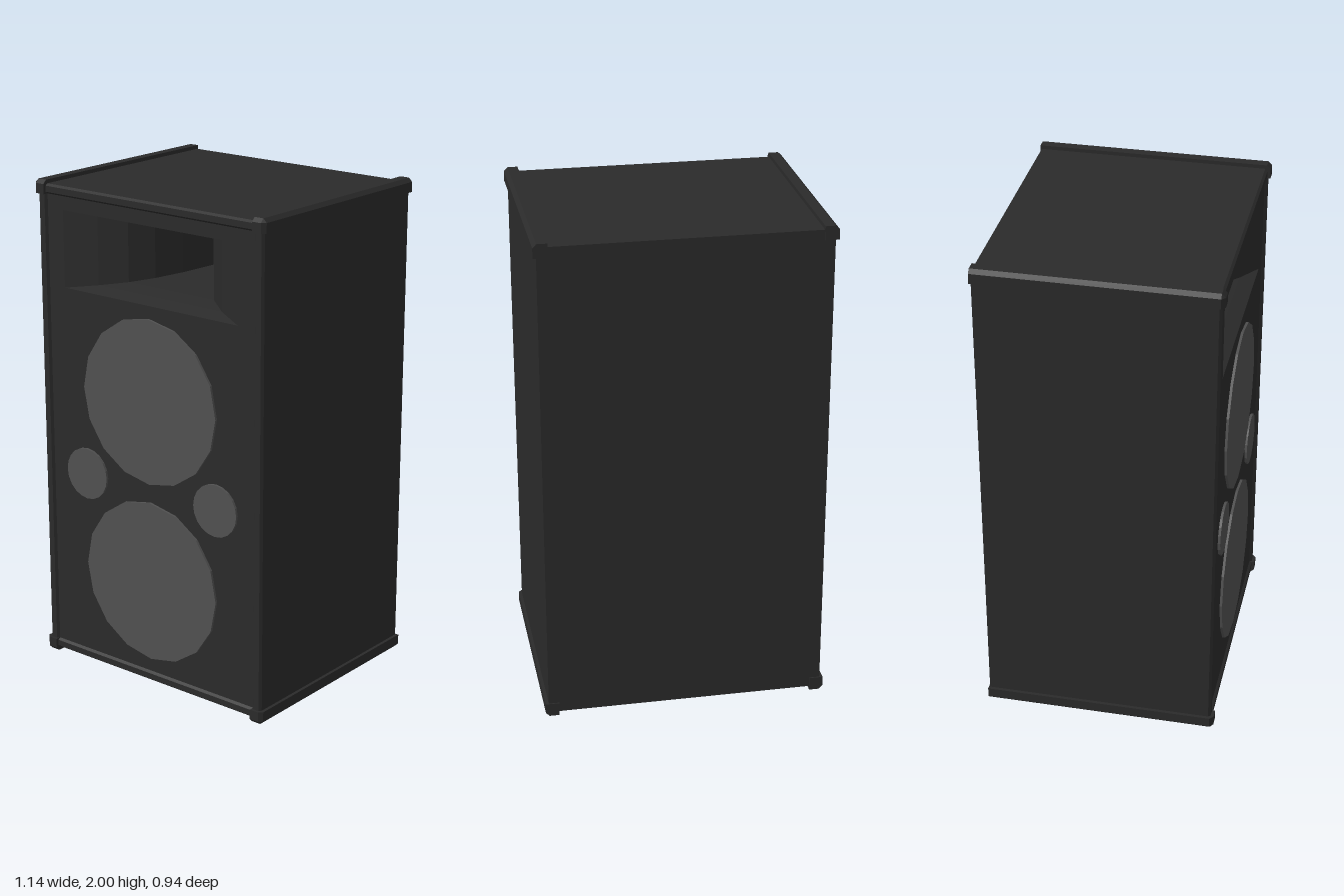
import * as THREE from 'three';

const dark = new THREE.MeshStandardMaterial({ color: 0x2a2a2a, flatShading: true });
const darkInside = new THREE.MeshStandardMaterial({ color: 0x2a2a2a, flatShading: true, side: THREE.DoubleSide });
const cone = new THREE.MeshStandardMaterial({ color: 0x505050, flatShading: true });

// rectangle as a closed list of points
function rect(hw, y0, y1) {
  return [[-hw, y0], [hw, y0], [hw, y1], [-hw, y1]].map(([x, y]) => new THREE.Vector2(x, y));
}

function framed(outer, inner) {
  const shape = new THREE.Shape(outer);
  shape.holes.push(new THREE.Path(inner));
  return shape;
}

// edge rail along z with a chamfered outer corner and a tapered front end
function railGeometry(sx, sy) {
  const section = [[0.515, 0.945], [0.57, 0.945], [0.57, 0.985], [0.555, 1], [0.515, 1]];
  const shape = new THREE.Shape(section.map(([x, y]) => new THREE.Vector2(sx * x, sy * y)));
  const geo = new THREE.ExtrudeGeometry(shape, { depth: 2, steps: 2, bevelEnabled: false });
  const p = geo.attributes.position;
  const levels = [-0.47, 0.452, 0.467];
  for (let i = 0; i < p.count; i++) {
    const ring = Math.round(p.getZ(i));
    p.setZ(i, levels[ring]);
    if (ring === 2) {
      p.setX(i, sx * Math.min(Math.abs(p.getX(i)), 0.555));
      p.setY(i, sy * Math.min(Math.abs(p.getY(i)), 0.985));
    }
    p.setY(i, p.getY(i) + 1);
  }
  geo.computeVertexNormals();
  return geo;
}

// flared rectangular horn: rings of four corners from mouth to throat, closed at the back
function hornGeometry(zFront) {
  const profile = [[0, 0.435], [0.06, 0.31], [0.13, 0.215], [0.22, 0.155], [0.34, 0.115], [0.5, 0.09]];
  const pos = [], index = [];
  profile.forEach(([d, w]) => {
    const h = 0.105 + 0.05 * (w - 0.09) / 0.345;
    rect(w, 1.735 - h, 1.735 + h).forEach((c) => pos.push(c.x, c.y, zFront - d));
  });
  for (let r = 0; r < profile.length - 1; r++) {
    for (let k = 0; k < 4; k++) {
      const a = r * 4 + k, b = r * 4 + (k + 1) % 4;
      index.push(a, b, b + 4, a, b + 4, a + 4);
    }
  }
  const t = (profile.length - 1) * 4;
  index.push(t, t + 1, t + 2, t, t + 2, t + 3);
  const geo = new THREE.BufferGeometry();
  geo.setAttribute('position', new THREE.Float32BufferAttribute(pos, 3));
  geo.setIndex(index);
  const flat = geo.toNonIndexed();
  flat.computeVertexNormals();
  return flat;
}

export function createModel() {
  const group = new THREE.Group();
  const add = (name, geo, mat, x = 0, y = 0, z = 0) => {
    const mesh = new THREE.Mesh(geo, mat);
    mesh.name = name;
    mesh.position.set(x, y, z);
    group.add(mesh);
    return mesh;
  };

  // cabinet walls with a softly bevelled front rim
  const walls = new THREE.ExtrudeGeometry(framed(rect(0.557, 0.015, 1.985), rect(0.515, 0.055, 1.945)), {
    depth: 0.885, bevelThickness: 0.01, bevelSize: 0.008, bevelOffset: -0.008, bevelSegments: 1,
  });
  add('cabinetWalls', walls, dark, 0, 0, -0.44);
  add('backPanel', new THREE.BoxGeometry(1.114, 1.97, 0.04), dark, 0, 1, -0.445);

  // front baffle, set slightly back, with the horn opening
  const baffleFront = 0.445;
  const baffle = new THREE.ExtrudeGeometry(framed(rect(0.52, 0.05, 1.95), rect(0.435, 1.58, 1.89)), {
    depth: 0.02, bevelEnabled: false,
  });
  add('frontBaffle', baffle, dark, 0, 0, baffleFront - 0.02);
  add('horn', hornGeometry(baffleFront), darkInside);

  // drivers and ports
  const disc = (name, r, sides, x, y) => {
    const geo = new THREE.CylinderGeometry(r, r, 0.03, sides).rotateX(Math.PI / 2);
    add(name, geo, cone, x, y, baffleFront - 0.005);
  };
  disc('upperDriver', 0.335, 16, 0, 1.195);
  disc('lowerDriver', 0.335, 16, 0, 0.448);
  disc('leftPort', 0.106, 20, 0.33, 0.83);
  disc('rightPort', 0.106, 20, -0.33, 0.83);

  // protective rails on the four long edges
  for (const [sx, side] of [[1, 'left'], [-1, 'right']]) {
    for (const [sy, level] of [[1, 'Top'], [-1, 'Bottom']]) {
      add(side + level + 'Rail', railGeometry(sx, sy), dark);
    }
  }
  return group;
}
